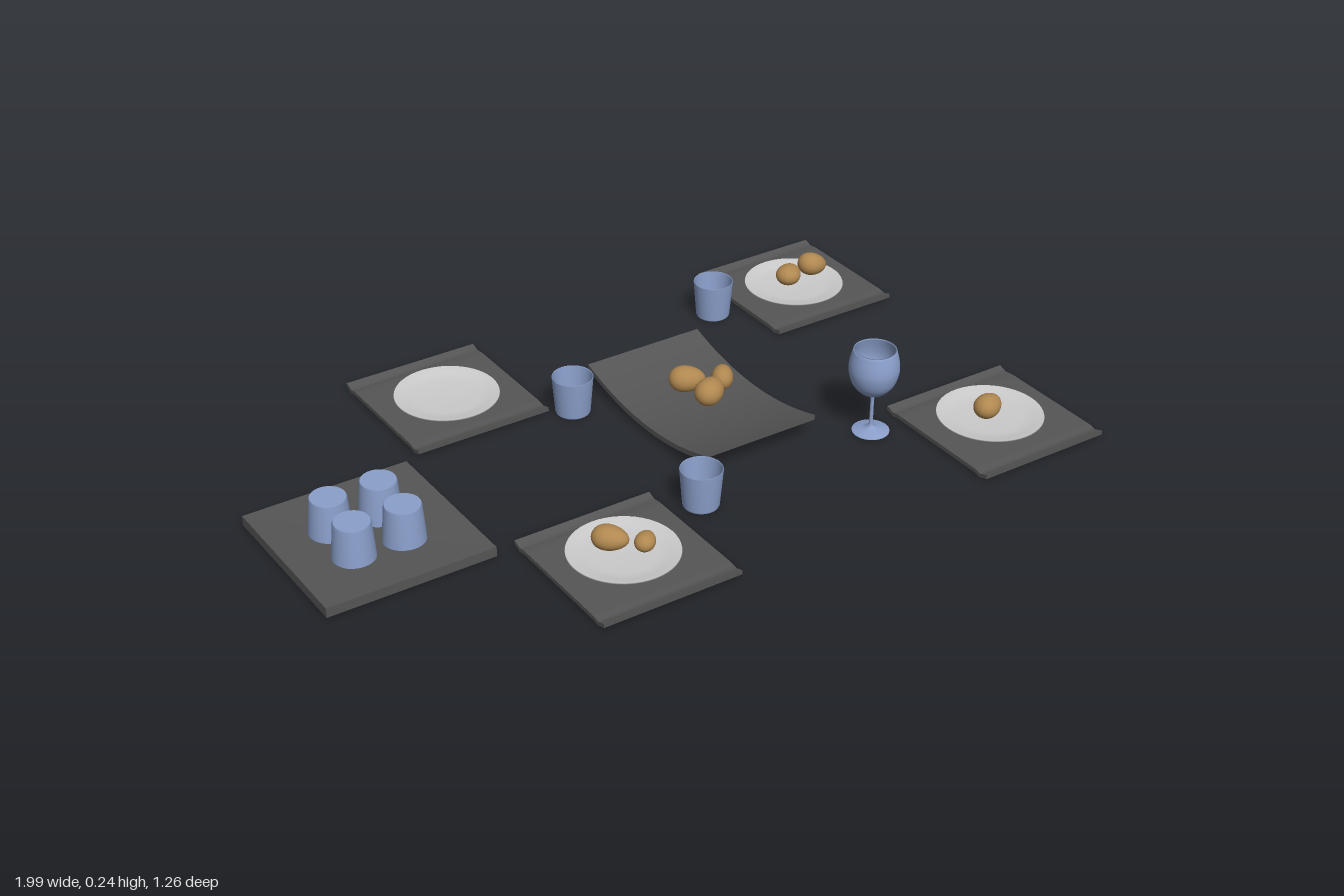
import * as THREE from 'three';

const material = (color, side = THREE.FrontSide) => {
  const m = new THREE.MeshStandardMaterial({ color });
  m.side = side;
  return m;
};
const slate = material(0x555555);
const slateFlat = material(0x555555);
slateFlat.flatShading = true;
const china = material(0xcccccc, THREE.DoubleSide);
const glass = material(0x8a9fca, THREE.DoubleSide);
const crust = material(0xb08850);

const points = (list) => list.map(([r, y]) => new THREE.Vector2(r, y));

function add(parent, name, geometry, mat, x = 0, y = 0, z = 0) {
  const mesh = new THREE.Mesh(geometry, mat);
  mesh.name = name;
  mesh.position.set(x, y, z);
  parent.add(mesh);
  return mesh;
}

// Thin slab whose height follows rise(t), t running -1..1 along its depth
function bentSlab(width, thickness, depth, rise) {
  const g = new THREE.BoxGeometry(width, thickness, depth, 1, 1, 32);
  const p = g.attributes.position;
  for (let i = 0; i < p.count; i++) {
    p.setY(i, p.getY(i) + rise((2 * p.getZ(i)) / depth));
  }
  g.computeVertexNormals();
  return g;
}

// Egg-shaped bread roll, long axis along x and one end slimmer
function rollGeometry() {
  const g = new THREE.SphereGeometry(1, 28, 20);
  const p = g.attributes.position;
  for (let i = 0; i < p.count; i++) {
    const k = 1 - 0.16 * p.getX(i);
    p.setY(i, p.getY(i) * k);
    p.setZ(i, p.getZ(i) * k);
  }
  g.computeVertexNormals();
  return g;
}

export function createModel() {
  const model = new THREE.Group();
  model.name = 'tableSetting';

  const matGeo = bentSlab(0.38, 0.011, 0.393, (t) => {
    const a = Math.abs(t);
    return a < 0.8 ? 0 : 0.004 * Math.sin(((a - 0.8) / 0.2) * Math.PI * 1.5) * -1;
  });
  const plateGeo = new THREE.LatheGeometry(points([
    [0, 0.014], [0.085, 0.014], [0.115, 0.019], [0.138, 0.028],
    [0.137, 0.031], [0.113, 0.024], [0.083, 0.019], [0, 0.018],
  ]), 48);
  const cupGeo = new THREE.LatheGeometry(points([
    [0, 0], [0.044, 0], [0.044, 0], [0.046, 0.004], [0.054, 0.103], [0.053, 0.105],
    [0.051, 0.103], [0.044, 0.01], [0.044, 0.01], [0, 0.01],
  ]), 36);
  const rollGeo = rollGeometry();

  // Rolls: x, y, z, half length, half height, half width, turn, tilt
  const roll = ([x, y, z, a, b, c, turn, tilt = 0]) => {
    const r = add(model, 'breadRoll', rollGeo, crust, x, y, z);
    r.scale.set(a, b, c);
    r.rotation.set(0, turn, tilt);
  };

  // Four place settings
  for (const [x, z] of [[-0.31, -0.435], [0.805, -0.435], [-0.31, 0.428], [0.805, 0.428]]) {
    const setting = new THREE.Group();
    setting.name = 'placeSetting';
    setting.position.set(x, 0, z);
    add(setting, 'placemat', matGeo, slate, 0, 0.0095, 0);
    add(setting, 'plate', plateGeo, china, -0.003, 0, z > 0 ? -0.012 : 0.006);
    model.add(setting);
  }
  [
    [0.786, 0.058, -0.432, 0.043, 0.027, 0.034, 0.7],
    [0.866, 0.067, -0.43, 0.043, 0.031, 0.034, -0.1, -0.25],
    [-0.335, 0.058, 0.393, 0.046, 0.03, 0.034, -0.85],
    [-0.266, 0.05, 0.438, 0.034, 0.022, 0.025, 0.75],
    [0.791, 0.058, 0.418, 0.044, 0.03, 0.033, 0.4],
  ].forEach(roll);

  // Curved serving board with three rolls
  const boardGeo = bentSlab(0.345, 0.014, 0.525, (t) => 0.043 * t * t);
  add(model, 'servingBoard', boardGeo, slate, 0.208, 0.02, -0.032);
  [
    [0.217, 0.064, -0.102, 0.048, 0.034, 0.036, -0.5],
    [0.309, 0.056, -0.074, 0.042, 0.03, 0.028, 0.95],
    [0.234, 0.063, -0.022, 0.05, 0.034, 0.036, 0.6],
  ].forEach(roll);

  // Square tray with a shallow dished top and hollow underside
  const q = Math.SQRT2;
  const trayGeo = new THREE.LatheGeometry(points([
    [0, 0.012], [0.203 * q, 0.012], [0.208 * q, 0.002], [0.222 * q, 0.002],
    [0.222 * q, 0.028], [0, 0.02],
  ]), 4, Math.PI / 4);
  add(model, 'tray', trayGeo, slateFlat, -0.777, 0, 0.022);

  // Upturned cups on the tray
  for (const x of [-0.848, -0.715]) {
    for (const z of [-0.034, 0.088]) {
      add(model, 'upturnedCup', cupGeo, glass, x, 0.122, z).rotation.x = Math.PI;
    }
  }

  // Upright cups beside the settings
  for (const [x, z] of [[0.535, -0.443], [-0.06, -0.217], [-0.029, 0.322]]) {
    add(model, 'cup', cupGeo, glass, x, 0, z);
  }

  // Stemmed goblet
  const bowl = new THREE.SplineCurve(points([
    [0.006, 0.107], [0.03, 0.116], [0.053, 0.141], [0.064, 0.175], [0.063, 0.205], [0.055, 0.238],
  ])).getPoints(24);
  const inner = bowl.slice(2).reverse().map((p) => new THREE.Vector2(p.x - 0.003, p.y + 0.001));
  const gobletGeo = new THREE.LatheGeometry([
    ...points([[0, 0], [0.048, 0], [0.048, 0], [0.048, 0.003], [0.025, 0.008], [0.008, 0.013], [0.005, 0.025], [0.0045, 0.09]]),
    ...bowl, ...inner, new THREE.Vector2(0, 0.112),
  ], 40);
  add(model, 'goblet', gobletGeo, glass, 0.525, 0, 0.278);

  return model;
}
